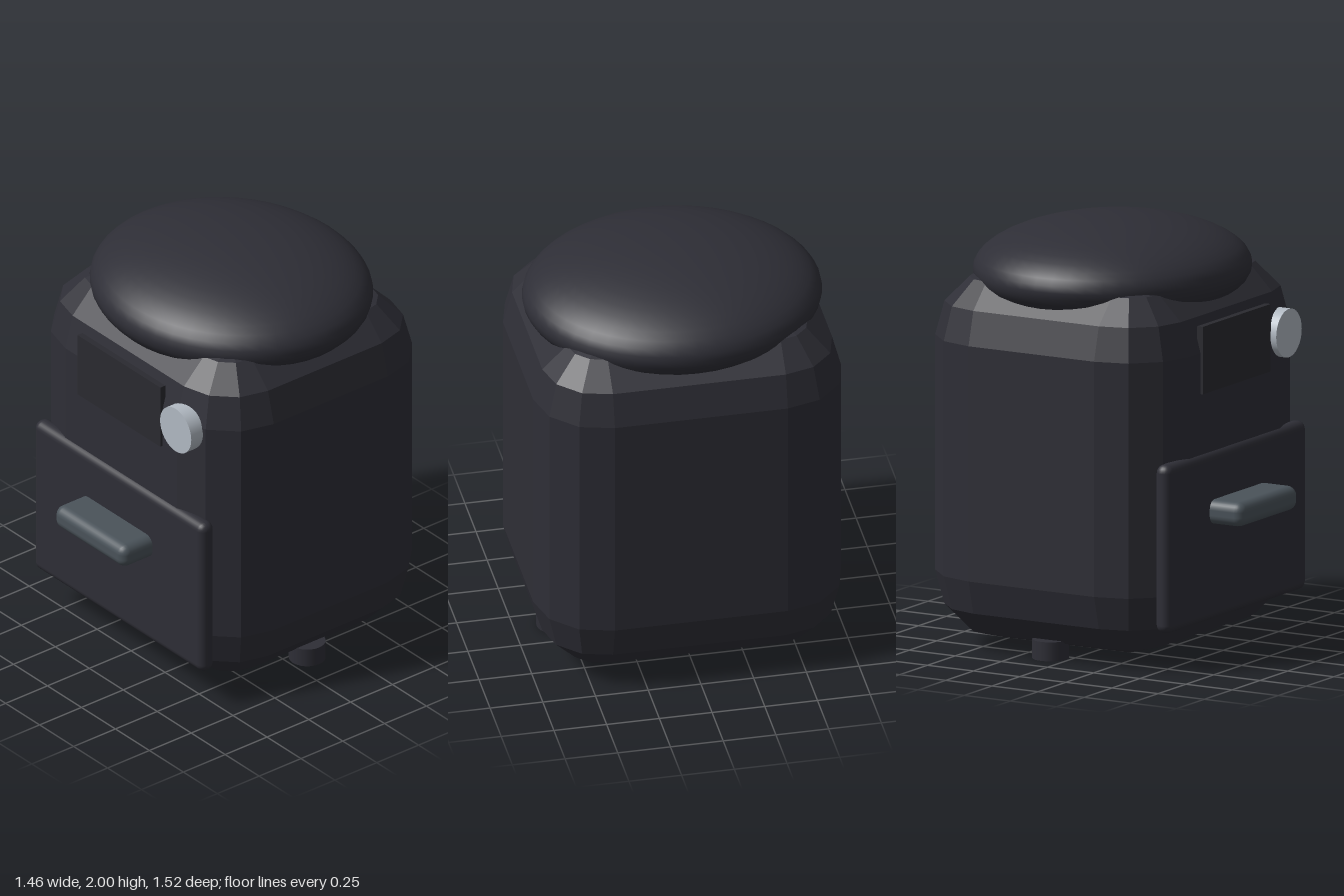
import * as THREE from 'three';
import { RoundedBoxGeometry } from 'three/addons/geometries/RoundedBoxGeometry.js';
import { ConvexGeometry } from 'three/addons/geometries/ConvexGeometry.js';

const material = (name, color) => {
  const m = new THREE.MeshStandardMaterial({ color });
  m.name = name;
  return m;
};

// Box whose edges are bevelled in three flat steps
function bevelledBox(w, h, d, r) {
  const points = [];
  const step = Math.PI / 6;
  for (const sx of [-1, 1]) for (const sy of [-1, 1]) for (const sz of [-1, 1]) {
    for (let i = 0; i <= 3; i++) {
      for (let j = 0; j <= (i === 3 ? 0 : 3); j++) {
        const ring = r * Math.cos(i * step);
        points.push(new THREE.Vector3(
          sx * (w / 2 - r + ring * Math.cos(j * step)),
          sy * (h / 2 - r + r * Math.sin(i * step)),
          sz * (d / 2 - r + ring * Math.sin(j * step))
        ));
      }
    }
  }
  return new ConvexGeometry(points);
}

export function createModel() {
  const model = new THREE.Group();
  model.name = 'cabinet';

  const shell = material('charcoal shell', 0x2e2e36);
  const glass = material('dark display', 0x2a2a30);
  const grey = material('slate grey', 0x4a535a);
  const silver = material('silver', 0xb2bac3);

  const add = (name, geometry, mat, x, y, z) => {
    const mesh = new THREE.Mesh(geometry, mat);
    mesh.name = name;
    mesh.position.set(x, y, z);
    model.add(mesh);
    return mesh;
  };

  // Main housing
  add('body', bevelledBox(1.46, 1.755, 1.32, 0.32), shell, 0, 0.9125, -0.1);

  // Domed lid sunk into the top of the housing
  const lid = new THREE.SphereGeometry(1, 48, 24);
  lid.scale(0.7, 0.24, 0.63);
  add('lid', lid, shell, 0, 1.76, -0.1);

  // Front drawer and its grip
  add('drawer', new RoundedBoxGeometry(1.25, 0.8, 0.084, 3, 0.04), shell, 0, 0.59, 0.541);
  add('drawerHandle', new RoundedBoxGeometry(0.52, 0.115, 0.26, 3, 0.045), grey, 0, 0.707, 0.628);

  // Display panel and dial
  add('display', new THREE.BoxGeometry(0.61, 0.32, 0.03), glass, 0, 1.435, 0.558);
  const dial = new THREE.CylinderGeometry(0.115, 0.115, 0.09, 32);
  dial.rotateX(Math.PI / 2);
  add('dial', dial, silver, 0.44, 1.435, 0.546);

  // Feet, one on each side
  for (const side of [-1, 1]) {
    add(side > 0 ? 'leftFoot' : 'rightFoot',
      new THREE.CylinderGeometry(0.086, 0.086, 0.09, 24), shell, side * 0.557, 0.045, -0.1);
  }

  return model;
}
